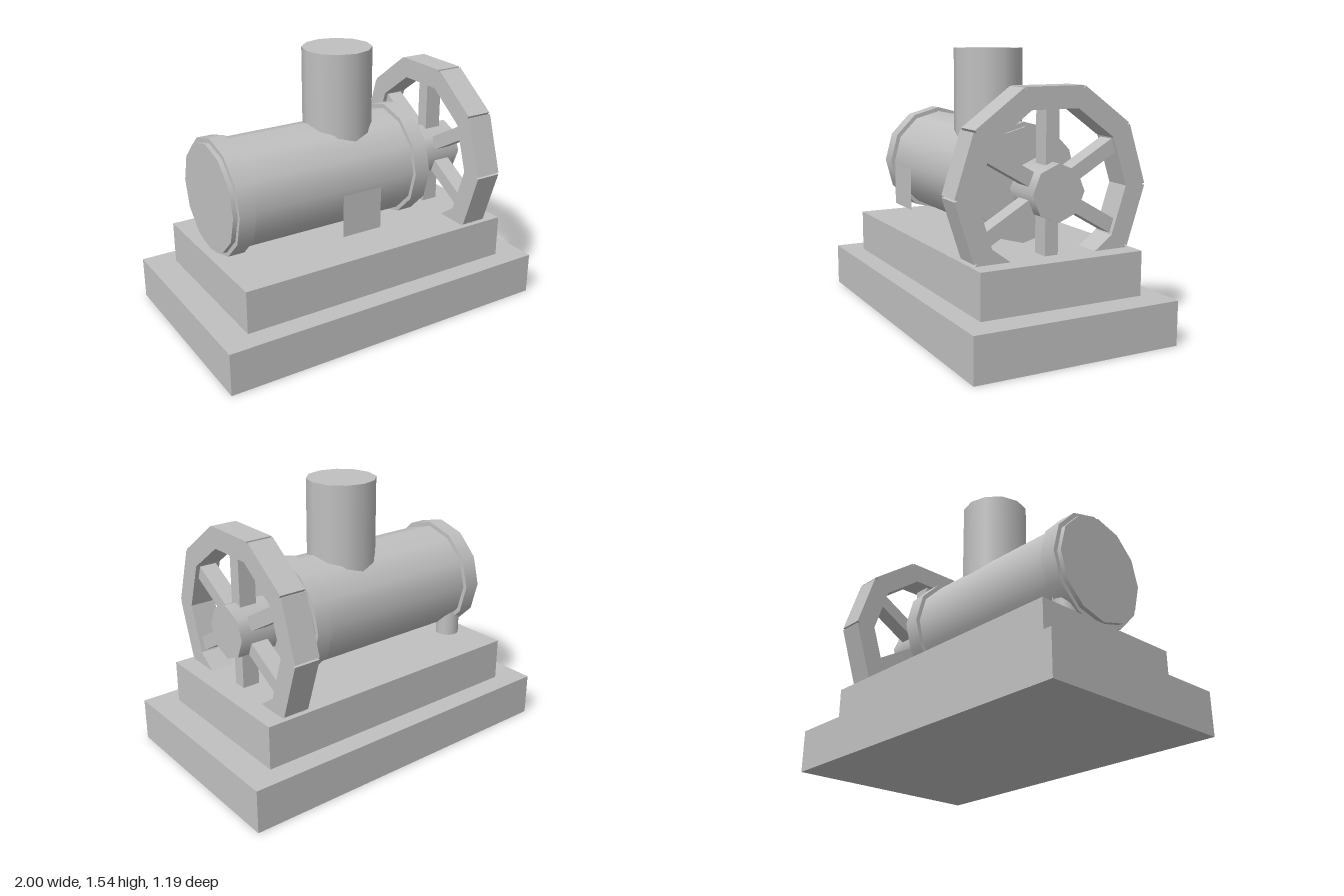
import * as THREE from 'three';

export function createModel() {
  const group = new THREE.Group();
  const grey = new THREE.MeshStandardMaterial({ color: 0xc0c0c0 });
  grey.name = 'plain grey';
  const greySheet = grey; // one colour throughout
  greySheet.side = THREE.DoubleSide;

  const add = (name, geometry, x, y, z, parent = group) => {
    const mesh = new THREE.Mesh(geometry, grey);
    mesh.name = name;
    mesh.position.set(x, y, z);
    parent.add(mesh);
    return mesh;
  };
  const box = (w, h, d) => new THREE.BoxGeometry(w, h, d);
  // cylinder lying along x, or standing along y
  const along = (r, length, sides) =>
    new THREE.CylinderGeometry(r, r, length, sides).rotateZ(Math.PI / 2);
  const upright = (r, length, sides) => new THREE.CylinderGeometry(r, r, length, sides);

  const axisY = 0.825;

  // stepped plinth
  add('lowerBase', box(2, 0.245, 1.19), 0, 0.1225, 0);
  add('upperBase', box(1.675, 0.245, 0.95), 0, 0.3675, 0);

  // boiler with end bands, chimney and drain pipe
  add('boiler', along(0.305, 1.24, 12), -0.19, axisY, 0);
  for (const x of [-0.737, 0.368]) add('boilerBand', along(0.33, 0.095, 12), x, axisY, 0);
  add('chimney', upright(0.195, 0.64, 12), 0, 1.22, 0);
  add('drainPipe', upright(0.07, 0.2, 12), -0.705, 0.585, -0.17);

  // flat panel standing clear of the boiler
  add('sidePanel', new THREE.PlaneGeometry(0.235, 0.235), -0.1375, 0.7625, 0.473);

  // flywheel: hub, three full-width spoke bars, ten rim blocks
  const wheel = new THREE.Group();
  wheel.name = 'flywheel';
  wheel.position.set(0.656, axisY, 0);
  group.add(wheel);
  add('hub', along(0.152, 0.235, 8), 0, 0, 0, wheel);
  for (let i = 0; i < 3; i++) {
    add('spoke', box(0.1, 0.9, 0.077), 0, 0, 0, wheel).rotation.x = (i * Math.PI) / 3;
  }
  for (let i = 0; i < 10; i++) {
    const a = (i * Math.PI) / 5;
    const block = add('rimBlock', box(0.15, 0.116, 0.336), 0, 0.477 * Math.cos(a), 0.477 * Math.sin(a), wheel);
    block.rotation.x = a;
  }

  return group;
}
